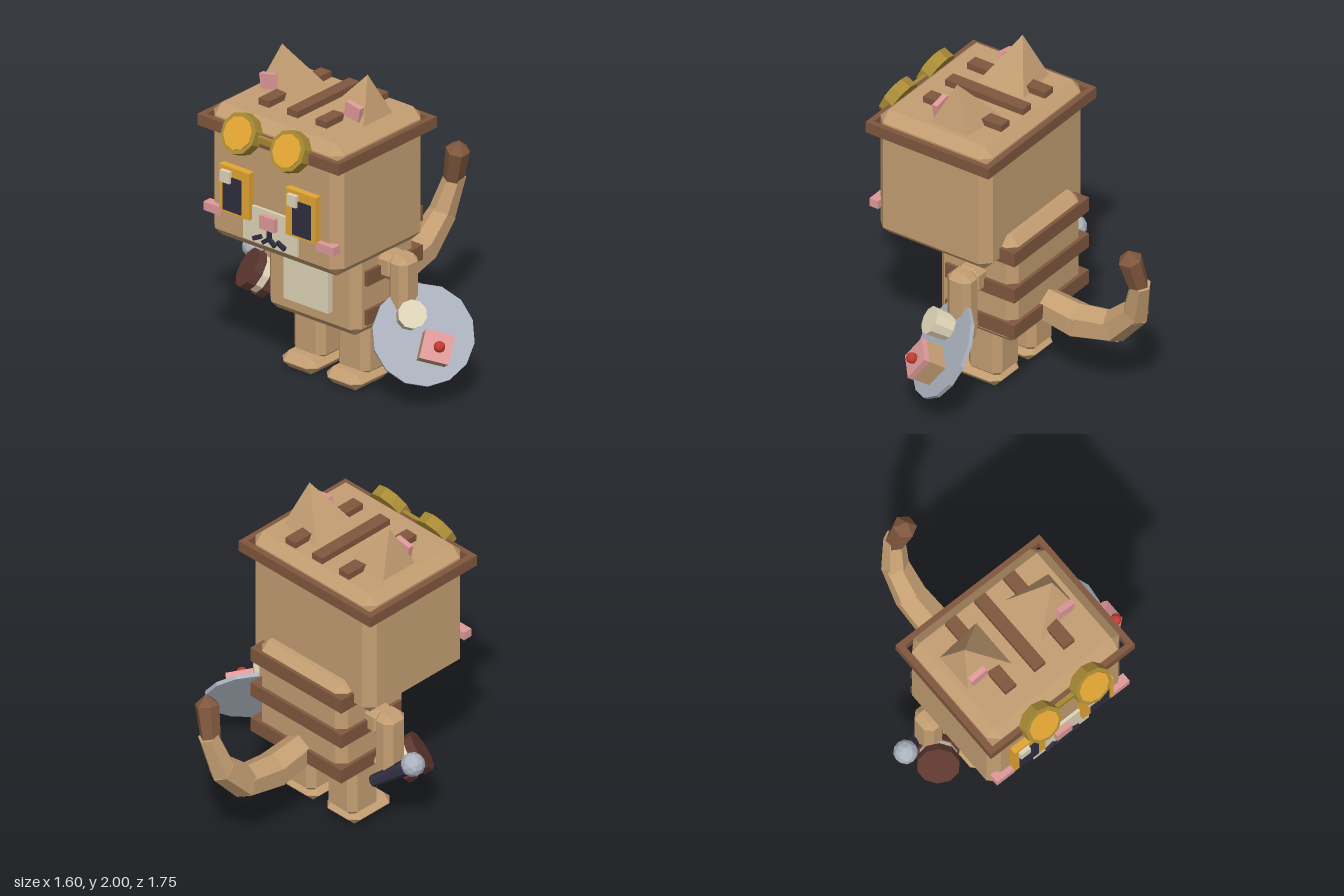
import * as THREE from 'three';
import { ConvexGeometry } from 'three/addons/geometries/ConvexGeometry.js';

const V = (x, y, z) => new THREE.Vector3(x, y, z);
const UP = V(0, 1, 0);
const CX = -0.087; // symmetry plane of the body

function makeMaterials() {
  const colors = {
    tan: 0xc49e72, brown: 0x80573e, cream: 0xdfd5b9, amber: 0xe3a634, gold: 0xa88a35,
    navy: 0x2f2e40, pink: 0xe09a9a, grey: 0xabb2be, chocolate: 0x5f3831, red: 0xc23a32,
  };
  const mats = {};
  for (const [name, color] of Object.entries(colors)) {
    mats[name] = new THREE.MeshStandardMaterial({ color, flatShading: true });
    mats[name].name = name;
  }
  return mats;
}

// Box with every edge cut off by b
function chamferBox(w, h, d, b) {
  const pts = [];
  for (const i of [-0.5, 0.5]) for (const j of [-0.5, 0.5]) for (const k of [-0.5, 0.5]) {
    const c = V(i * w, j * h, k * d);
    const cut = V(Math.sign(i) * b, Math.sign(j) * b, Math.sign(k) * b);
    for (const keep of ['x', 'y', 'z']) {
      const p = c.clone().sub(cut);
      p[keep] = c[keep];
      pts.push(p);
    }
  }
  return new ConvexGeometry(pts);
}

export function createModel() {
  const M = makeMaterials();
  const model = new THREE.Group();
  model.name = 'cat';

  const add = (name, geo, mat, pos, parent = model) => {
    const m = new THREE.Mesh(geo, mat);
    m.name = name;
    m.position.copy(pos);
    parent.add(m);
    return m;
  };
  // Box from its limits, chamfered when b > 0
  const box = (name, mat, x0, x1, y0, y1, z0, z1, b = 0) => add(name,
    b ? chamferBox(x1 - x0, y1 - y0, z1 - z0, b) : new THREE.BoxGeometry(x1 - x0, y1 - y0, z1 - z0),
    mat, V((x0 + x1) / 2, (y0 + y1) / 2, (z0 + z1) / 2));
  // Cylinder from a to b
  const rod = (name, mat, a, b, ra, rb, sides) => {
    const m = add(name, new THREE.CylinderGeometry(rb, ra, a.distanceTo(b), sides), mat, a.clone().lerp(b, 0.5));
    m.quaternion.setFromUnitVectors(UP, b.clone().sub(a).normalize());
    return m;
  };

  // Head
  box('head', M.tan, -0.577, 0.403, 0.91, 1.74, -0.053, 0.735, 0.06);
  box('headbandFront', M.brown, -0.62, 0.44, 1.6, 1.67, 0.735, 0.77);
  box('headbandBack', M.brown, -0.62, 0.44, 1.6, 1.67, -0.09, -0.053);
  box('headbandRight', M.brown, -0.62, -0.58, 1.6, 1.67, -0.053, 0.735);
  box('headbandLeft', M.brown, 0.405, 0.44, 1.6, 1.67, -0.053, 0.735);
  for (const o of [-0.215, 0, 0.215])
    box('headStripe', M.brown, CX + o - 0.04, CX + o + 0.04, 1.72, 1.78, 0.015, 0.56);

  for (const s of [-1, 1]) {
    // Ears lean outward
    const ear = add('ear', new THREE.ConeGeometry(0.226, 0.3, 4).rotateY(Math.PI / 4), M.tan, V(CX + s * 0.292, 1.853, 0.275));
    ear.rotation.z = -s * 0.2;
    const inner = add('innerEar', new THREE.BoxGeometry(0.11, 0.09, 0.035), M.pink, V(CX + s * 0.318, 1.81, 0.392));
    inner.rotation.z = -s * 0.18;

    // Goggles tipped upward
    const goggle = new THREE.Group();
    goggle.name = 'goggle';
    goggle.position.set(CX + s * 0.184, 1.655, 0.788);
    goggle.rotation.x = Math.PI / 2 - 0.46;
    model.add(goggle);
    add('goggleRim', new THREE.CylinderGeometry(0.125, 0.125, 0.07, 10), M.gold, V(0, 0, 0), goggle);
    add('goggleLens', new THREE.CylinderGeometry(0.1, 0.1, 0.008, 10), M.amber, V(0, 0.038, 0), goggle);

    // Eyes and cheeks
    const ex = CX + s * 0.25;
    box('eye', M.amber, ex - 0.113, ex + 0.113, 1.12, 1.412, 0.73, 0.778);
    const px = CX + s * 0.261;
    box('pupil', M.navy, px - 0.068, px + 0.068, 1.137, 1.353, 0.776, 0.785);
    const hx = ex - 0.051;
    box('eyeHighlight', M.cream, hx - 0.035, hx + 0.035, 1.317, 1.39, 0.775, 0.803);
    const kx = CX + s * 0.421;
    box('cheek', M.pink, kx - 0.067, kx + 0.067, 1.08, 1.133, 0.71, 0.77);

    // Mouth bars
    for (const [dx, y, len, tilt] of [[0.021, 1.025, 0.065, -0.65], [0.089, 1.025, 0.065, -0.45]]) {
      const bar = add('mouthBar', new THREE.BoxGeometry(len, 0.025, 0.02), M.navy, V(CX + s * dx, y, 0.762));
      bar.rotation.z = s * tilt;
    }

    // Legs and feet
    const lx = CX + s * 0.166;
    box('leg', M.tan, lx - 0.118, lx + 0.118, 0.06, 0.44, 0.015, 0.25, 0.042);
    box('foot', M.tan, lx - 0.133, lx + 0.133, 0, 0.105, 0.015, 0.347, 0.05);

    // Arms
    const ax = CX + s * 0.47;
    box('arm', M.tan, ax - 0.07, ax + 0.07, 0.47, 0.87, 0.05, 0.215, 0.04);
    const sx = CX + s * 0.38;
    box('shoulder', M.tan, sx - 0.07, sx + 0.07, 0.7, 0.865, 0.055, 0.21, 0.035);
    const hand = add('hand', chamferBox(0.14, 0.17, 0.14, 0.04), M.tan, V(CX + s * 0.445, 0.475, 0.14));
    hand.rotation.z = s * 0.3;
  }
  box('goggleBridge', M.gold, CX - 0.07, CX + 0.07, 1.635, 1.675, 0.765, 0.79);
  box('muzzle', M.cream, -0.29, 0.115, 0.985, 1.208, 0.73, 0.753);
  box('nose', M.pink, CX - 0.056, CX + 0.056, 1.1, 1.183, 0.74, 0.785);
  box('mouthLine', M.navy, CX - 0.013, CX + 0.013, 1.03, 1.1, 0.75, 0.772);

  // Body, belly and bands
  box('body', M.tan, -0.432, 0.258, 0.38, 1.09, -0.135, 0.403, 0.052);
  box('belly', M.cream, -0.255, 0.08, 0.508, 0.95, 0.39, 0.443);
  for (const y of [0.5, 0.745, 0.99])
    box('bodyBand', M.brown, -0.453, 0.279, y - 0.046, y + 0.046, -0.157, 0.33);

  // Tail of six-sided segments: joint position and radius
  const tail = [
    [-0.088, 0.5, -0.1, 0.1], [-0.09, 0.465, -0.35, 0.112], [-0.097, 0.51, -0.585, 0.1],
    [-0.085, 0.67, -0.745, 0.082], [-0.04, 0.9, -0.81, 0.062],
  ];
  for (let i = 0; i < tail.length - 1; i++) {
    const a = V(...tail[i]), b = V(...tail[i + 1]);
    const stretch = b.clone().sub(a).setLength(0.015);
    rod('tailSegment', M.tan, a.sub(stretch), b.add(stretch), tail[i][3], tail[i + 1][3], 6);
  }
  rod('tailTip', M.brown, V(-0.045, 0.88, -0.8), V(0.01, 1.09, -0.775), 0.06, 0.072, 6);
  rod('tailPoint', M.brown, V(0.01, 1.09, -0.775), V(0.022, 1.15, -0.77), 0.072, 0.005, 6);

  // Microphone in the right hand
  rod('microphoneHandle', M.navy, V(-0.52, 0.41, 0.03), V(-0.72, 0.57, 0.13), 0.036, 0.05, 8);
  add('microphoneHead', new THREE.IcosahedronGeometry(0.072, 1), M.grey, V(-0.733, 0.58, 0.14));

  // Sandwich biscuit
  const face = V(-0.635, 0.54, 0.315), axis = V(0.53, -0.53, -0.66).normalize();
  const along = (t) => face.clone().addScaledVector(axis, t);
  rod('biscuitFront', M.chocolate, along(0), along(0.055), 0.125, 0.125, 10);
  rod('biscuitCream', M.cream, along(0.055), along(0.105), 0.112, 0.112, 10);
  rod('biscuitBack', M.chocolate, along(0.105), along(0.155), 0.125, 0.125, 10);

  // Tray at the left hand, local y points away from its face
  const n = V(0.66, 0.52, 0.55).normalize();
  const u = V(n.z, 0, -n.x).normalize();
  const v = n.clone().cross(u);
  const tray = new THREE.Group();
  tray.name = 'tray';
  tray.position.set(0.545, 0.413, 0.15);
  tray.quaternion.setFromRotationMatrix(new THREE.Matrix4().makeBasis(u, n, v.clone().negate()));
  model.add(tray);
  add('plate', new THREE.CylinderGeometry(0.297, 0.297, 0.025, 14), M.grey, V(0, 0, 0), tray);
  const local = (p) => {
    const d = p.sub(tray.position);
    return V(d.dot(u), 0, -d.dot(v));
  };
  const cup = local(V(0.51, 0.55, 0.215));
  add('cup', new THREE.CylinderGeometry(0.085, 0.08, 0.13, 10), M.cream, cup.setY(0.075), tray);

  // Cake with icing and a cherry
  const cake = new THREE.Group();
  cake.name = 'cake';
  cake.position.copy(local(V(0.725, 0.425, 0.235)));
  cake.rotation.y = -0.31;
  tray.add(cake);
  add('sponge', new THREE.BoxGeometry(0.165, 0.12, 0.165), M.tan, V(0, 0.065, 0), cake);
  add('icing', new THREE.BoxGeometry(0.172, 0.035, 0.172), M.pink, V(0, 0.142, 0), cake);
  add('cherry', new THREE.IcosahedronGeometry(0.034, 1), M.red, V(0.01, 0.18, 0), cake);

  return model;
}
